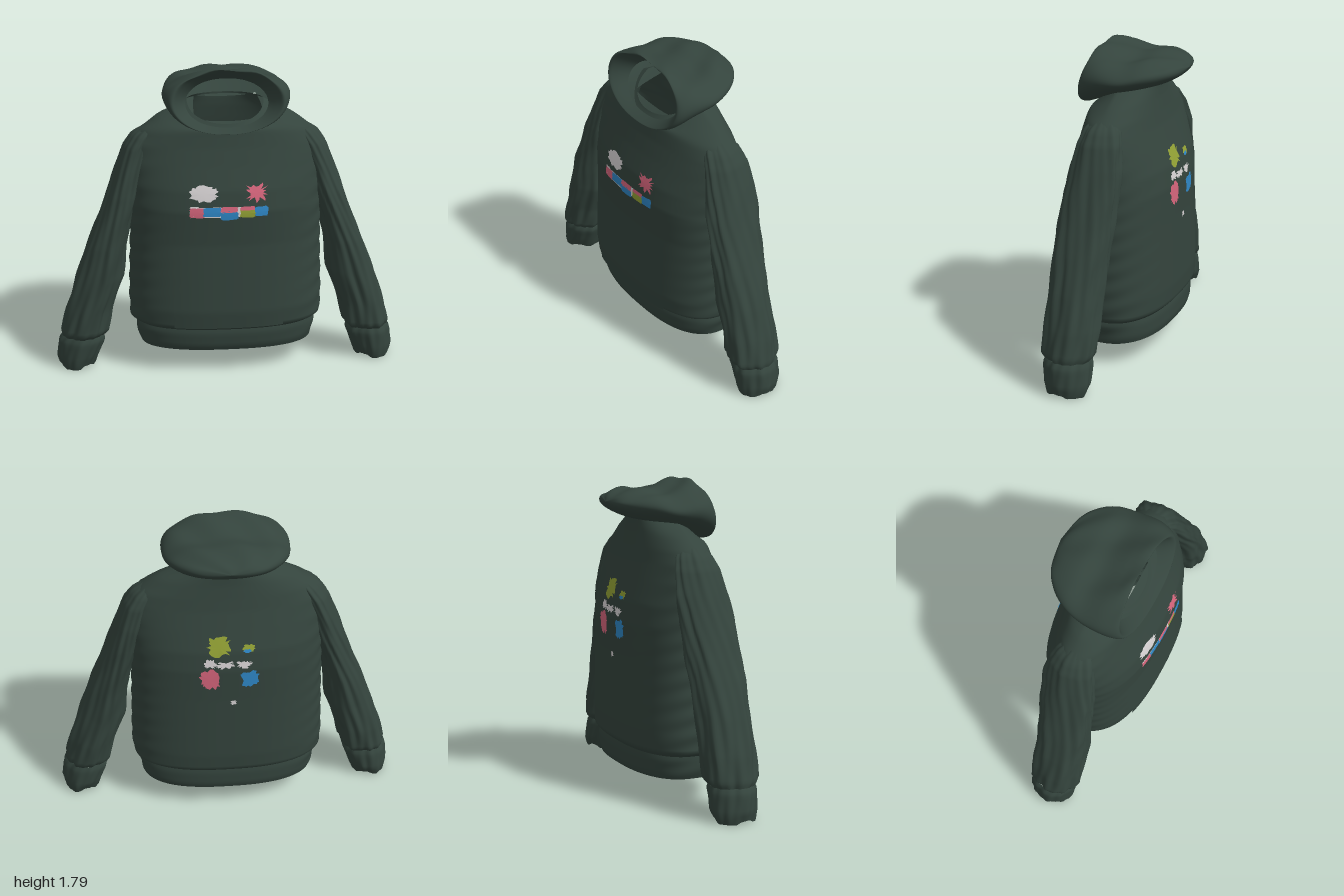
import * as THREE from 'three';

const mat = (name, color) => {
  const m = new THREE.MeshStandardMaterial({ color, side: THREE.DoubleSide });
  m.name = name;
  return m;
};

// Torso profile: [y, half width, z back, z front, roundness]
const TORSO = [
  [0.14, 0.505, -0.265, 0.26, 2.5], [0.17, 0.515, -0.275, 0.275, 2.5],
  [0.25, 0.53, -0.275, 0.285, 2.5], [0.275, 0.525, -0.27, 0.28, 2.5],
  [0.3, 0.56, -0.295, 0.315, 2.5], [0.4, 0.565, -0.3, 0.325, 2.5],
  [0.6, 0.56, -0.295, 0.315, 2.5], [0.8, 0.555, -0.29, 0.305, 2.5],
  [1.0, 0.555, -0.29, 0.315, 2.4], [1.12, 0.56, -0.275, 0.295, 2.3],
  [1.25, 0.565, -0.235, 0.25, 2.2], [1.35, 0.55, -0.205, 0.22, 2.1],
  [1.42, 0.495, -0.19, 0.205, 2.1], [1.5, 0.385, -0.175, 0.195, 2.1],
  [1.55, 0.28, -0.17, 0.185, 2.1], [1.58, 0.22, -0.17, 0.17, 2.1],
];
// Sleeve profile: [y, x min, x max, z back, z front]
const SLEEVE = [
  [0.0, 0.785, 0.985, -0.07, 0.16], [0.06, 0.76, 0.995, -0.09, 0.175],
  [0.17, 0.715, 0.985, -0.09, 0.185], [0.195, 0.725, 0.965, -0.08, 0.175],
  [0.22, 0.70, 0.97, -0.1, 0.2], [0.36, 0.67, 0.935, -0.11, 0.2],
  [0.55, 0.605, 0.875, -0.11, 0.2], [0.75, 0.58, 0.8, -0.12, 0.2],
  [0.9, 0.545, 0.74, -0.13, 0.19], [1.05, 0.5, 0.685, -0.14, 0.18],
  [1.2, 0.46, 0.63, -0.14, 0.155], [1.33, 0.41, 0.58, -0.125, 0.13],
  [1.4, 0.37, 0.53, -0.1, 0.105], [1.44, 0.36, 0.465, -0.06, 0.07],
];
// Hood rings: [z bottom, y bottom, z top, y top, half width], lining to crown
const HOOD = [
  [0.19, 1.465, 0.04, 1.71, 0.235], [0.23, 1.45, 0.12, 1.76, 0.28],
  [0.25, 1.44, 0.16, 1.785, 0.315], [0.21, 1.445, 0.13, 1.785, 0.345],
  [0.1, 1.49, 0.07, 1.765, 0.362], [-0.03, 1.53, -0.04, 1.73, 0.355],
  [-0.14, 1.56, -0.15, 1.74, 0.325], [-0.23, 1.59, -0.24, 1.725, 0.26],
  [-0.3, 1.63, -0.3, 1.7, 0.16], [-0.33, 1.67, -0.33, 1.67, 0],
];

// Linear profile lookup by height
function at(profile, y) {
  let i = 0;
  while (i < profile.length - 2 && profile[i + 1][0] < y) i++;
  const a = profile[i], b = profile[i + 1];
  const t = THREE.MathUtils.clamp((y - a[0]) / (b[0] - a[0]), 0, 1);
  return a.map((v, k) => v + (b[k] - v) * t);
}

// Smooth lookup by ring position
function smoothAt(list, t) {
  const i = Math.min(Math.floor(t), list.length - 2), f = t - i;
  const p = (k) => list[THREE.MathUtils.clamp(k, 0, list.length - 1)];
  return list[0].map((_, k) => {
    const [a, b, c, d] = [p(i - 1)[k], p(i)[k], p(i + 1)[k], p(i + 2)[k]];
    return b + 0.5 * f * (c - a + f * (2 * a - 5 * b + 4 * c - d + f * (3 * (b - c) + d - a)));
  });
}

// Skin over closed rings; point(row, angle) returns [x, y, z], hole(row, angle) leaves a gap
function loft(rows, segs, point, hole = () => false) {
  const pos = [], idx = [];
  for (let r = 0; r <= rows; r++) {
    for (let i = 0; i < segs; i++) {
      const angle = (i / segs) * Math.PI * 2;
      pos.push(...point(r / rows, angle));
      if (r === rows || hole(r / rows, angle)) continue;
      const a = r * segs + i, b = r * segs + ((i + 1) % segs);
      idx.push(a, a + segs, b, b, a + segs, b + segs);
    }
  }
  const g = new THREE.BufferGeometry();
  g.setAttribute('position', new THREE.Float32BufferAttribute(pos, 3));
  g.setIndex(idx);
  g.computeVertexNormals();
  return g;
}

const bend = (v, n) => Math.sign(v) * Math.abs(v) ** (2 / n);

function torsoPart(y0, y1, rows) {
  return loft(rows, 96, (t, a) => {
    const y = y0 + (y1 - y0) * t;
    const [, hw, zb, zf, n] = at(TORSO, y);
    const s = bend(Math.sin(a), n), c = bend(Math.cos(a), n);
    // Fine side creases and a dipped front neckline
    const crease = 1 + 0.006 * Math.abs(c) ** 3 * Math.sin(y * 57 + 5 * a);
    const dip = 0.1 * Math.max(0, s) * THREE.MathUtils.smoothstep(y, 1.42, 1.58);
    return [hw * c * crease, y - dip, s * (s > 0 ? zf : -zb)];
  });
}

function sleevePart(side, y0, y1, rows, fold) {
  return loft(rows, 80, (t, a) => {
    const y = y0 + (y1 - y0) * t;
    const [, x0, x1, zb, zf] = at(SLEEVE, y);
    // Long uneven folds running down the arm
    const w = 1 + fold * (Math.sin(5 * a + 4 * y + side) + 0.7 * Math.sin(9 * a - 7 * y)
      + 0.7 * Math.sin(15 * a + 6 * Math.sin(3 * y)) + 0.4 * Math.sin(4 * a + 23 * y));
    const hem = 0.02 * Math.sin(3 * a + side) * Math.max(0, 1 - y / 0.08);
    return [
      side * (x0 + x1) / 2 + Math.cos(a) * w * (x1 - x0) / 2,
      y + Math.max(hem, -y),
      (zb + zf) / 2 + Math.sin(a) * w * (zf - zb) / 2,
    ];
  });
}

// Lay a flat geometry onto the front (1) or back (-1) of the torso
function drape(g, face, lift) {
  const p = g.attributes.position;
  for (let i = 0; i < p.count; i++) {
    const [, hw, zb, zf, n] = at(TORSO, p.getY(i));
    const z = (face > 0 ? zf : -zb) * Math.max(0, 1 - Math.abs(p.getX(i) / hw) ** n) ** (1 / n);
    p.setZ(i, face * (z + lift));
  }
  g.computeVertexNormals();
  return g;
}

// Ragged printed patch: nearly square when smooth, rounder when rough
function patch(x, y, w, h, rough, face, seed) {
  const g = new THREE.CircleGeometry(1, 32);
  const p = g.attributes.position;
  const corner = rough < 0.2 ? 8 : 2.6;
  let s = seed * 7919 + 17;
  const rand = () => (s = (s * 16807) % 2147483647) / 2147483647;
  for (let i = 1; i < p.count; i++) {
    const k = 1 + rough * (rand() - 0.6);
    const cx = bend(p.getX(i), corner) * k, cy = bend(p.getY(i), corner) * k;
    p.setXY(i, x + cx * w / 2, y + cy * h / 2);
  }
  p.setXY(0, x, y);
  p.setXY(p.count - 1, p.getX(1), p.getY(1));
  return drape(g, face, 0.005 + seed * 0.0002);
}

function pocketGeometry() {
  const g = new THREE.PlaneGeometry(1, 1, 24, 24), p = g.attributes.position;
  for (let i = 0; i < p.count; i++) {
    const v = p.getY(i) + 0.5;
    const hw = v < 0.43 ? 0.315 + 0.01 * v : 0.32 - (v - 0.43) * 0.2;
    p.setXY(i, p.getX(i) * 2 * hw - 0.005, 0.3 + v * 0.42);
  }
  return drape(g, 1, 0.008);
}

export function createModel() {
  const root = new THREE.Group();
  root.name = 'hoodedSweatshirt';
  const fabric = mat('dark green fabric', 0x34443d);
  const white = mat('white print', 0xd8d4d5);
  const pink = mat('pink print', 0xd8667d);
  const blue = mat('blue print', 0x2f88c8);
  const olive = mat('olive print', 0x93a235);
  const add = (name, geometry, material = fabric) => {
    const m = new THREE.Mesh(geometry, material);
    m.name = name;
    root.add(m);
  };

  // Torso and waistband
  add('waistband', torsoPart(0.14, 0.275, 8));
  add('torso', torsoPart(0.275, 1.58, 90));
  add('frontPocket', pocketGeometry());

  // Sleeves with cuffs
  for (const [side, label] of [[1, 'left'], [-1, 'right']]) {
    add(label + 'Cuff', sleevePart(side, 0, 0.195, 10, 0.025));
    add(label + 'Sleeve', sleevePart(side, 0.195, 1.44, 80, 0.04));
  }

  // Hood lying open behind the neck, with a gap in its floor for the neck
  add('hood', loft(54, 64, (t, a) => {
    const [zb, yb, zt, yt, hw] = smoothAt(HOOD, t * (HOOD.length - 1));
    const k = (Math.sin(a) + 1) / 2, c = Math.cos(a);
    const ripple = 0.009 * k * Math.sin(9 * c + 14 * t) * Math.sin(Math.PI * t);
    return [hw * bend(c, 2.2), yb + (yt - yb) * k + ripple, zb + (zt - zb) * k];
  }, (t, a) => t > 0.41 && t < 0.66 && Math.sin(a) < -0.84));

  // Printed patches: [material, x, y, width, height, roughness, face]
  const prints = [
    [white, -0.15, 1.11, 0.16, 0.09, 0.35, 1],
    [pink, 0.15, 1.11, 0.125, 0.09, 0.8, 1],
    [white, -0.06, 1.005, 0.33, 0.06, 0.15, 1],
    [pink, -0.187, 1.003, 0.08, 0.058, 0.18, 1],
    [blue, -0.1, 1.008, 0.105, 0.055, 0.18, 1],
    [pink, -0.005, 1.02, 0.1, 0.035, 0.18, 1],
    [blue, -0.005, 0.985, 0.1, 0.048, 0.18, 1],
    [olive, 0.1, 0.998, 0.09, 0.05, 0.18, 1],
    [pink, 0.1, 1.025, 0.085, 0.022, 0.18, 1],
    [blue, 0.178, 1.005, 0.075, 0.058, 0.18, 1],
    [white, -0.2, 1.035, 0.05, 0.012, 0.4, 1],
    [olive, 0.065, 1.16, 0.13, 0.105, 0.55, -1],
    [olive, -0.105, 1.145, 0.07, 0.045, 0.4, -1],
    [blue, -0.095, 1.13, 0.045, 0.02, 0.4, -1],
    [white, 0.115, 1.06, 0.06, 0.05, 0.8, -1],
    [white, 0.03, 1.05, 0.1, 0.04, 0.8, -1],
    [white, -0.075, 1.05, 0.09, 0.045, 0.8, -1],
    [pink, 0.12, 0.955, 0.115, 0.13, 0.45, -1],
    [blue, -0.11, 0.95, 0.105, 0.115, 0.45, -1],
    [white, -0.015, 0.79, 0.035, 0.03, 0.6, -1],
  ];
  prints.forEach(([m, x, y, w, h, rough, face], i) => {
    add((face > 0 ? 'front' : 'back') + 'Print' + (i + 1), patch(x, y, w, h, rough, face, i + 1), m);
  });
  return root;
}
